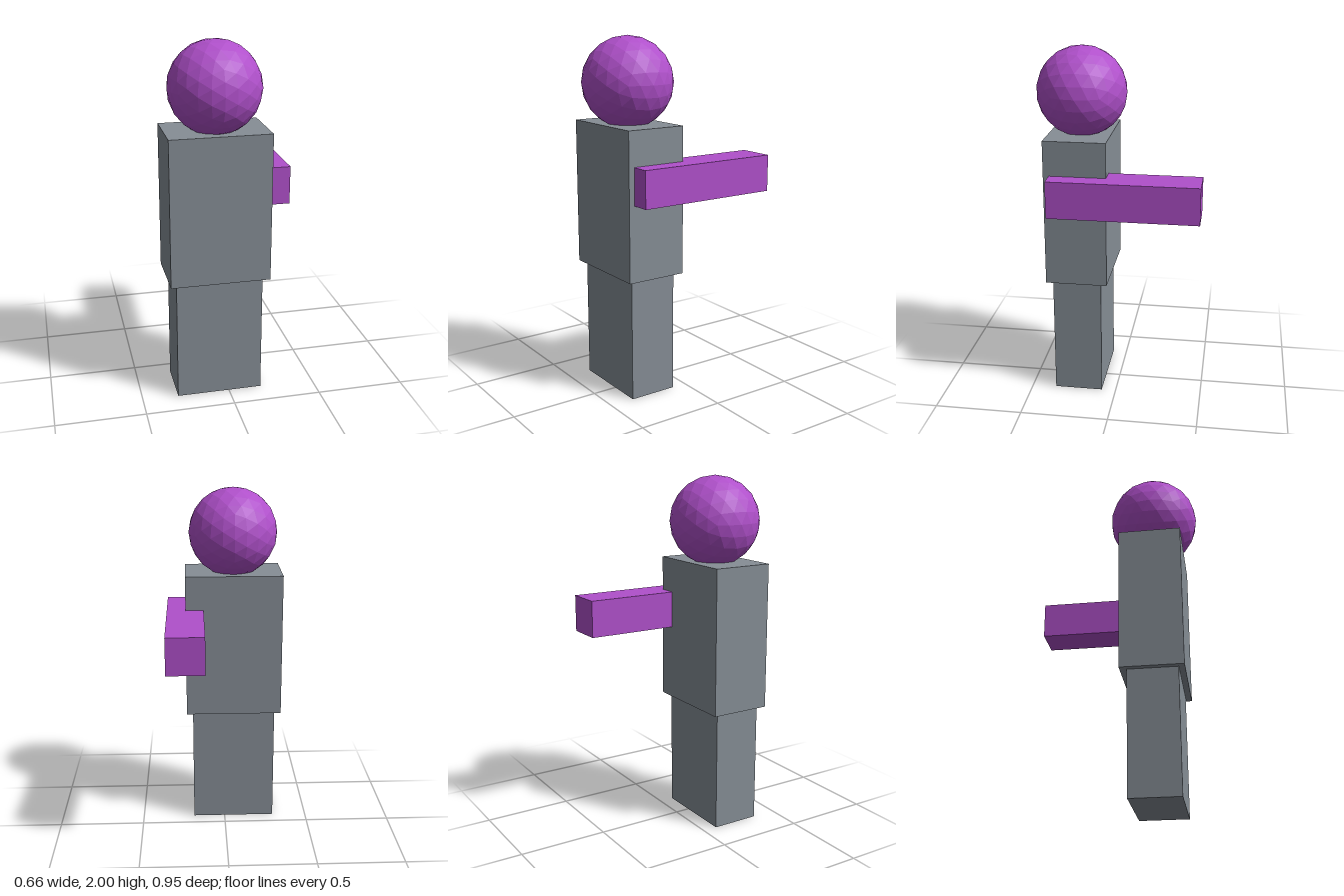
import * as THREE from 'three';

export function createModel() {
  const model = new THREE.Group();
  const slate = new THREE.MeshStandardMaterial({ color: 0x868e96, flatShading: true });
  const purple = new THREE.MeshStandardMaterial({ color: 0xb050cb, flatShading: true });

  const add = (name, geometry, material, x, y, z) => {
    const mesh = new THREE.Mesh(geometry, material);
    mesh.name = name;
    mesh.position.set(x, y, z);
    model.add(mesh);
  };

  // Box given by its lower and upper corners
  const addBox = (name, material, a, b) => add(
    name,
    new THREE.BoxGeometry(b[0] - a[0], b[1] - a[1], b[2] - a[2]),
    material,
    (a[0] + b[0]) / 2, (a[1] + b[1]) / 2, (a[2] + b[2]) / 2,
  );

  // Blocky body
  addBox('legs', slate, [-0.297, 0, 0.083], [0.188, 0.695, 0.36]);
  addBox('torso', slate, [-0.332, 0.695, 0.045], [0.224, 1.525, 0.393]);

  // Single arm, sunk into the torso and reaching backwards
  addBox('arm', purple, [0.121, 1.122, -0.475], [0.33, 1.33, 0.36]);

  // Faceted head, slightly sunk into the torso
  add('head', new THREE.IcosahedronGeometry(0.254, 3), purple, -0.053, 1.747, 0.22);

  return model;
}
